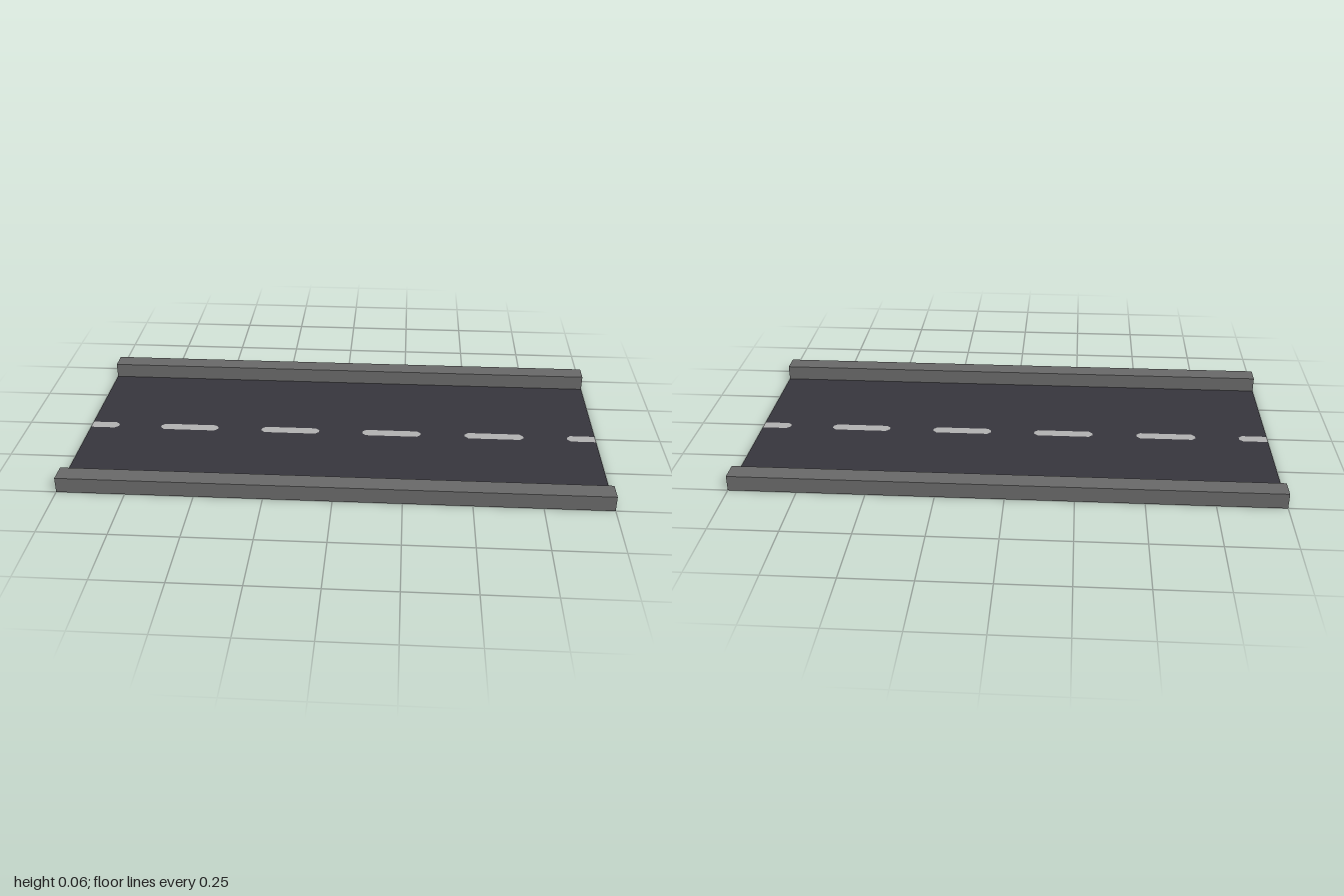
import * as THREE from 'three';

const HALF_LENGTH = 1, CURB_INNER = 0.426, CURB_WIDTH = 0.074, CURB_HEIGHT = 0.058;
const DASH_HALF = 0.115, DASH_WIDTH = 0.021, CORNER = 0.014;
const END_DASH = 0.89; // where the cut-off end dashes begin

// Outline of a full dash with clipped corners
function dashPoints(cx) {
  const l = DASH_HALF, w = DASH_WIDTH, c = CORNER;
  return [[-l, -w + c], [-l + c, -w], [l - c, -w], [l, -w + c],
    [l, w - c], [l - c, w], [-l + c, w], [-l, w - c]]
    .map(([x, y]) => new THREE.Vector2(cx + x, y));
}

// Outline of a dash cut off by the road's end, listed from low to high y
function endDashPoints(side) {
  const w = DASH_WIDTH, c = CORNER;
  return [[HALF_LENGTH, -w], [END_DASH + c, -w], [END_DASH, -w + c],
    [END_DASH, w - c], [END_DASH + c, w], [HALF_LENGTH, w]]
    .map(([x, y]) => new THREE.Vector2(side * x, y));
}

function flatMesh(name, shape, material) {
  const mesh = new THREE.Mesh(new THREE.ShapeGeometry(shape).rotateX(-Math.PI / 2), material);
  mesh.name = name;
  return mesh;
}

export function createModel() {
  const asphalt = new THREE.MeshStandardMaterial({ color: 0x36353c, side: THREE.DoubleSide });
  asphalt.name = 'asphalt';
  const paint = new THREE.MeshStandardMaterial({ color: 0xb0b0b0, side: THREE.DoubleSide });
  paint.name = 'lanePaint';
  const concrete = new THREE.MeshStandardMaterial({ color: 0x686868 });
  concrete.name = 'concrete';

  const road = new THREE.Group();
  road.name = 'roadSection';

  // Road surface, notched at both ends and pierced where the dashes lie flush
  const surface = new THREE.Shape([
    new THREE.Vector2(-HALF_LENGTH, -CURB_INNER),
    new THREE.Vector2(HALF_LENGTH, -CURB_INNER),
    ...endDashPoints(1),
    new THREE.Vector2(HALF_LENGTH, CURB_INNER),
    new THREE.Vector2(-HALF_LENGTH, CURB_INNER),
    ...endDashPoints(-1).reverse(),
  ]);

  // Centre line dashes
  const dashes = new THREE.Group();
  dashes.name = 'centreLine';
  for (const x of [-0.605, -0.201, 0.201, 0.605]) {
    surface.holes.push(new THREE.Path(dashPoints(x)));
    dashes.add(flatMesh('dash', new THREE.Shape(dashPoints(x)), paint));
  }
  for (const side of [-1, 1]) {
    dashes.add(flatMesh('endDash', new THREE.Shape(endDashPoints(side)), paint));
  }
  road.add(flatMesh('roadSurface', surface, asphalt), dashes);

  // Curbs along both sides
  for (const [name, side] of [['frontCurb', 1], ['backCurb', -1]]) {
    const curb = new THREE.Mesh(
      new THREE.BoxGeometry(2 * HALF_LENGTH, CURB_HEIGHT, CURB_WIDTH), concrete);
    curb.name = name;
    curb.position.set(0, CURB_HEIGHT / 2, side * (CURB_INNER + CURB_WIDTH / 2));
    road.add(curb);
  }
  return road;
}
